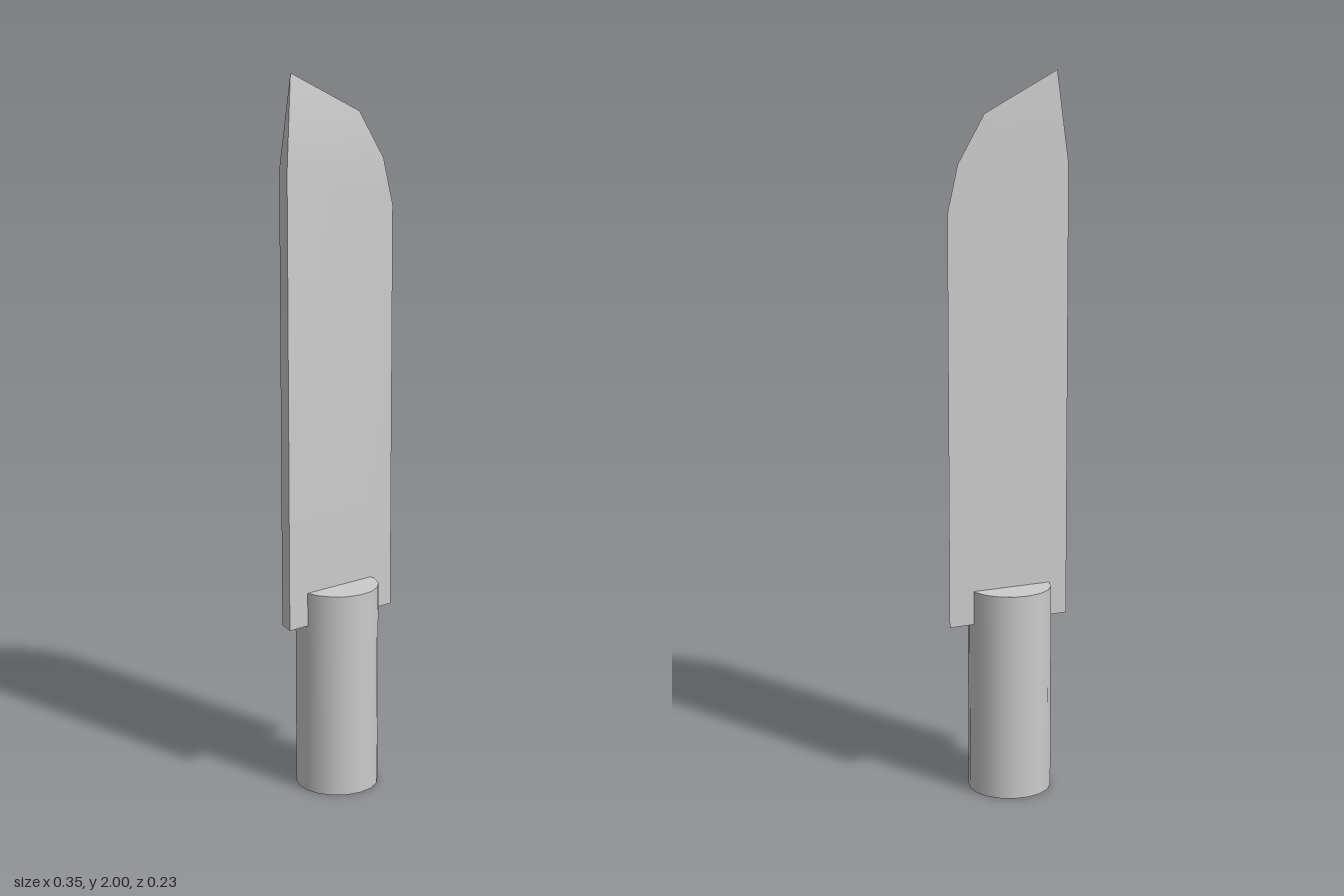
import * as THREE from 'three';
import { toCreasedNormals } from 'three/addons/utils/BufferGeometryUtils.js';

export function createModel() {
  const group = new THREE.Group();
  const material = new THREE.MeshStandardMaterial({ color: 0xcccccc });

  // Round handle, 18 sides
  const handleGeometry = new THREE.CylinderGeometry(0.116, 0.116, 0.585, 18);
  handleGeometry.rotateY(Math.PI / 2);
  const handle = new THREE.Mesh(handleGeometry, material);
  handle.name = 'handle';
  handle.position.set(-0.009, 0.2925, 0);
  group.add(handle);

  // Wedge blade: thick spine on the left of the front, cutting edge on the other side
  const frontHeel = [-0.178, 0.49, 0.058], frontShoulder = [-0.178, 1.75, 0.058];
  const backHeel = [-0.178, 0.49, 0.006], backShoulder = [-0.178, 1.75, 0.006];
  const tip = [-0.145, 2, 0.007];
  const edge = [ // from tip side down to the heel
    [0.068, 1.89, -0.023], [0.145, 1.76, -0.034],
    [0.175, 1.63, -0.037], [0.175, 0.49, -0.037],
  ];
  const faces = [
    [frontShoulder, frontHeel, ...edge.slice().reverse(), tip], // front
    [backShoulder, tip, ...edge, backHeel], // back
    [frontShoulder, tip, backShoulder, backHeel, frontHeel], // spine
    [frontHeel, backHeel, edge[3]], // underside
  ];
  const positions = [];
  for (const face of faces) {
    for (let i = 1; i < face.length - 1; i++) {
      positions.push(...face[0], ...face[i], ...face[i + 1]);
    }
  }
  const bladeGeometry = new THREE.BufferGeometry();
  bladeGeometry.setAttribute('position', new THREE.Float32BufferAttribute(positions, 3));
  const blade = new THREE.Mesh(toCreasedNormals(bladeGeometry, Math.PI / 6), material);
  blade.name = 'blade';
  group.add(blade);

  return group;
}
